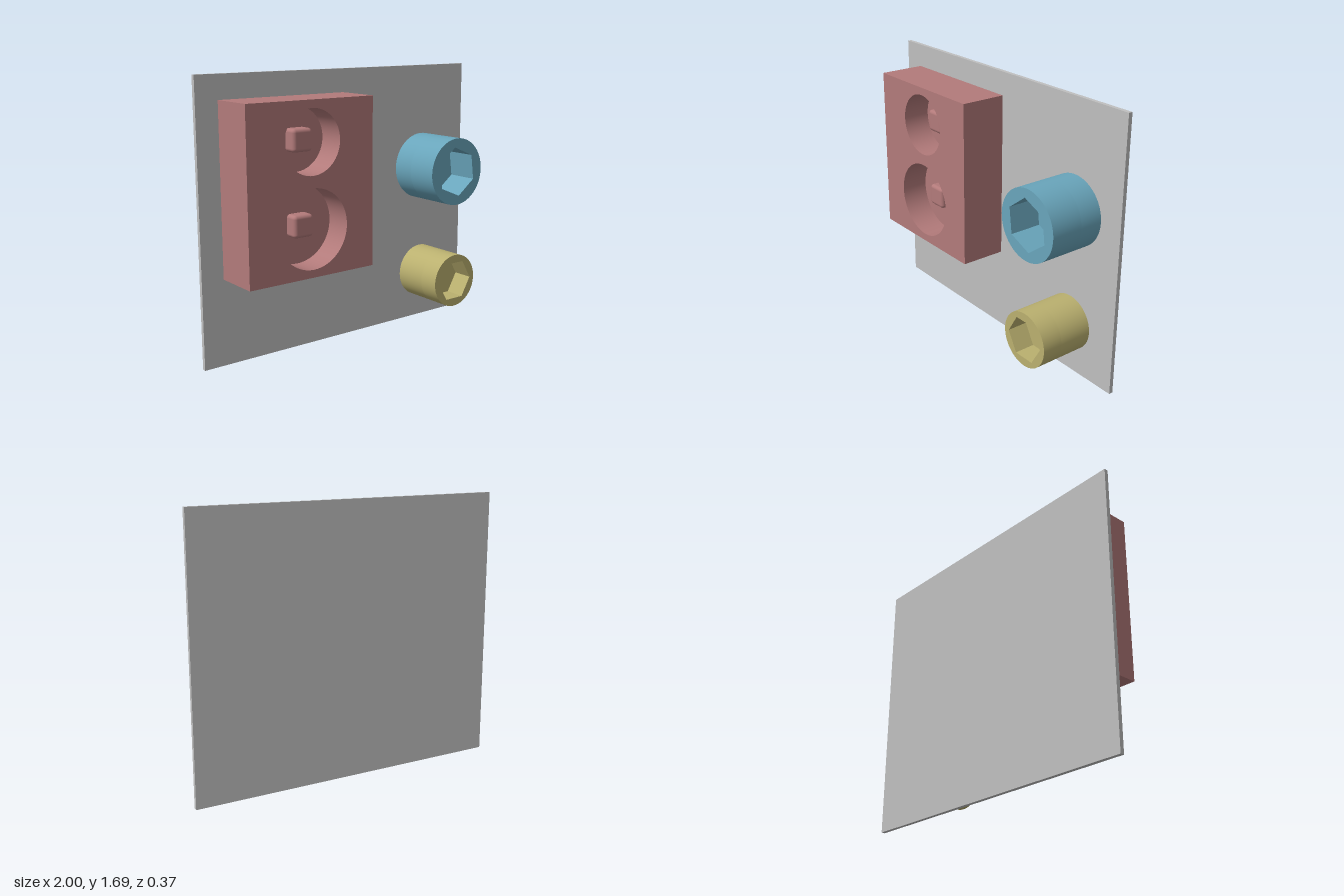
import * as THREE from 'three';
import { toCreasedNormals } from 'three/addons/utils/BufferGeometryUtils.js';
import { RoundedBoxGeometry } from 'three/addons/geometries/RoundedBoxGeometry.js';

const material = (name, color) => {
  const m = new THREE.MeshStandardMaterial({ color });
  m.name = name;
  return m;
};

function addMesh(parent, name, geometry, mat, x, y, z) {
  const mesh = new THREE.Mesh(geometry, mat);
  mesh.name = name;
  mesh.position.set(x, y, z);
  parent.add(mesh);
  return mesh;
}

// Extrude along +z with smooth round walls and sharp edges
function extrude(shape, depth) {
  const g = new THREE.ExtrudeGeometry(shape, { depth, bevelEnabled: false, curveSegments: 32 });
  return toCreasedNormals(g, 0.4);
}

const circle = (Type, x, y, r) => new Type().absarc(x, y, r, 0, Math.PI * 2);

function hexagon(r, degrees) {
  const points = [];
  for (let i = 0; i < 6; i++) {
    const a = (degrees + i * 60) * Math.PI / 180;
    points.push(new THREE.Vector2(r * Math.cos(a), r * Math.sin(a)));
  }
  return new THREE.Path(points);
}

const PLATE_FRONT = -0.16;

// Round post with a blind hexagonal recess in its front
function createSocket(name, mat, x, y, radius, hexRadius, hexAngle, recess) {
  const group = new THREE.Group();
  group.name = name;
  group.position.set(x, y, PLATE_FRONT);
  const length = 0.345;
  const ring = circle(THREE.Shape, 0, 0, radius);
  ring.holes.push(hexagon(hexRadius, hexAngle));
  addMesh(group, 'socketBase', extrude(circle(THREE.Shape, 0, 0, radius), length - recess), mat, 0, 0, 0);
  addMesh(group, 'socketRim', extrude(ring, recess), mat, 0, 0, length - recess);
  return group;
}

// Block with two round wells, each holding a square peg
function createBlock(mat) {
  const group = new THREE.Group();
  group.name = 'wellBlock';
  const left = -0.86, right = 0, bottom = 0.52, top = 1.543;
  const floor = -0.045, front = 0.127;
  const wells = [{ y: 1.305, r: 0.191 }, { y: 0.805, r: 0.238 }];
  const cx = (left + right) / 2;

  const face = new THREE.Shape([
    new THREE.Vector2(left, bottom), new THREE.Vector2(right, bottom),
    new THREE.Vector2(right, top), new THREE.Vector2(left, top),
  ]);
  for (const w of wells) {
    face.holes.push(circle(THREE.Path, cx, w.y, w.r));
    // Peg is sunk slightly into the well floor
    addMesh(group, 'peg', new RoundedBoxGeometry(0.135, 0.135, 0.12, 3, 0.022), mat, cx, w.y, 0.035 - 0.06);
  }
  addMesh(group, 'blockFront', extrude(face, front - floor), mat, 0, 0, floor);
  addMesh(group, 'blockBack', new THREE.BoxGeometry(right - left, top - bottom, floor - PLATE_FRONT), mat,
    cx, (top + bottom) / 2, (floor + PLATE_FRONT) / 2);
  return group;
}

export function createModel() {
  const grey = material('plate grey', 0xbfbfbf);
  const red = material('dusty red', 0xb27a7a);
  const blue = material('soft blue', 0x69a5bb);
  const yellow = material('muted yellow', 0xbab06f);

  const model = new THREE.Group();
  model.name = 'mountingPanel';

  addMesh(model, 'backPlate', new THREE.BoxGeometry(2, 1.686, 0.025), grey, 0, 0.843, PLATE_FRONT - 0.0125);
  model.add(createBlock(red));
  model.add(createSocket('largeSocket', blue, 0.64, 1.032, 0.213, 0.158, 37.5, 0.2));
  model.add(createSocket('smallSocket', yellow, 0.64, 0.317, 0.171, 0.137, 0, 0.13));
  return model;
}
